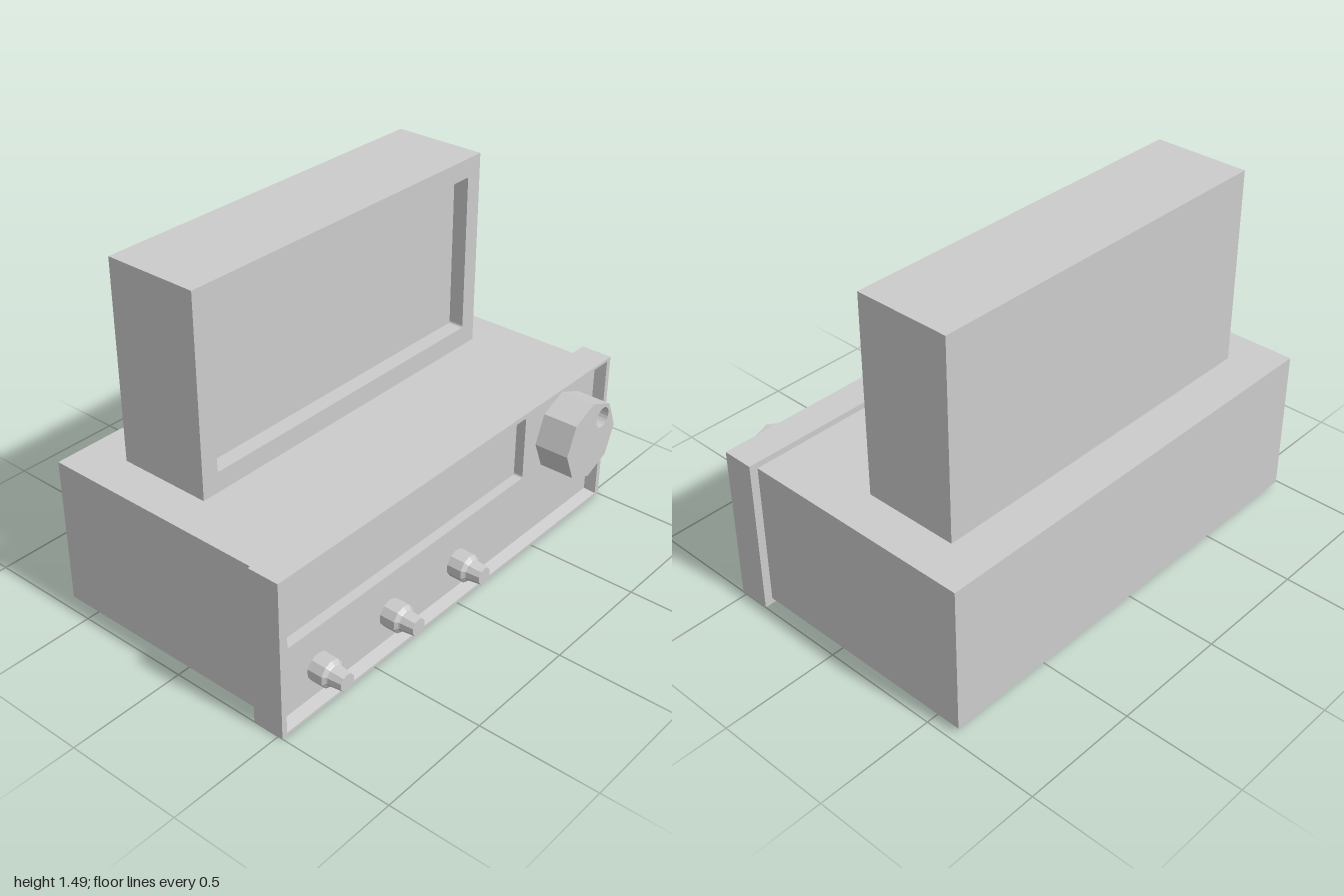
import * as THREE from 'three';

const mat = new THREE.MeshStandardMaterial({ color: 0xcccccc, flatShading: true });

function add(parent, name, geo, x = 0, y = 0, z = 0) {
  const mesh = new THREE.Mesh(geo, mat);
  mesh.name = name;
  mesh.position.set(x, y, z);
  parent.add(mesh);
  return mesh;
}

// Box given by its limits on each axis
function block(parent, name, [x0, x1], [y0, y1], [z0, z1]) {
  return add(parent, name, new THREE.BoxGeometry(x1 - x0, y1 - y0, z1 - z0),
    (x0 + x1) / 2, (y0 + y1) / 2, (z0 + z1) / 2);
}

// Rectangle outline with slightly rounded corners
function roundRect(path, x0, x1, y0, y1, r) {
  path.moveTo(x0 + r, y0);
  path.lineTo(x1 - r, y0);
  path.quadraticCurveTo(x1, y0, x1, y0 + r);
  path.lineTo(x1, y1 - r);
  path.quadraticCurveTo(x1, y1, x1 - r, y1);
  path.lineTo(x0 + r, y1);
  path.quadraticCurveTo(x0, y1, x0, y1 - r);
  path.lineTo(x0, y0 + r);
  path.quadraticCurveTo(x0, y0, x0 + r, y0);
  return path;
}

// Plate with a rounded window, from z0 to z1
function windowPlate(parent, name, [x0, x1], [y0, y1], [z0, z1], hole) {
  const shape = new THREE.Shape();
  shape.moveTo(x0, y0);
  shape.lineTo(x1, y0);
  shape.lineTo(x1, y1);
  shape.lineTo(x0, y1);
  shape.closePath();
  shape.holes.push(roundRect(new THREE.Path(), ...hole, 0.012));
  const geo = new THREE.ExtrudeGeometry(shape, { depth: z1 - z0, bevelEnabled: false, curveSegments: 4 });
  return add(parent, name, geo, 0, 0, z0);
}

// Skin between successive rectangles [halfWidth, bottom, top, z]
function rectLoft(rings) {
  const pos = [], index = [];
  for (const [w, b, t, z] of rings) pos.push(-w, b, z, w, b, z, w, t, z, -w, t, z);
  for (let i = 0; i < rings.length - 1; i++) {
    for (let j = 0; j < 4; j++) {
      const a = i * 4 + j, c = i * 4 + (j + 1) % 4;
      index.push(a, c, c + 4, a, c + 4, a + 4);
    }
  }
  const geo = new THREE.BufferGeometry();
  geo.setAttribute('position', new THREE.Float32BufferAttribute(pos, 3));
  geo.setIndex(index);
  const flat = geo.toNonIndexed();
  flat.computeVertexNormals();
  return flat;
}

// Stepped, tapered small knob pointing to +z
function smallKnob(parent, x) {
  const profile = [[0.058, 0], [0.058, 0.065], [0.046, 0.075], [0.043, 0.08], [0.036, 0.138], [0, 0.138]]
    .map(([r, h]) => new THREE.Vector2(r, h));
  const geo = new THREE.LatheGeometry(profile, 10);
  geo.rotateX(Math.PI / 2);
  add(parent, 'smallKnob', geo, x, 0.145, 0.47);
}

// Octagonal dial with a round finger dimple
function tuningDial(parent) {
  const dial = new THREE.Group();
  dial.name = 'tuningDial';
  dial.position.set(0.73, 0.44, 0.47);
  const shape = new THREE.Shape();
  for (let i = 0; i < 8; i++) {
    const a = i * Math.PI / 4;
    shape[i ? 'lineTo' : 'moveTo'](0.17 * Math.cos(a), 0.17 * Math.sin(a));
  }
  shape.closePath();
  shape.holes.push(new THREE.Path().absarc(0.075, 0.075, 0.044, 0, Math.PI * 2, true));
  add(dial, 'dialBody', new THREE.ExtrudeGeometry(shape, { depth: 0.152, bevelEnabled: false, curveSegments: 10 }));
  add(dial, 'dimpleFloor', new THREE.CircleGeometry(0.046, 20), 0.075, 0.075, 0.11);
  parent.add(dial);
}

export function createModel() {
  const model = new THREE.Group();
  model.name = 'radioWithScreen';

  // Main cabinet
  block(model, 'cabinet', [-0.965, 0.965], [0.025, 0.65], [-0.62, 0.385]);

  // Front bezel with a raised rim and tapered inner edge
  const front = new THREE.Group();
  front.name = 'frontPanel';
  model.add(front);
  add(front, 'bezel', rectLoft([
    [0.95, 0.04, 0.64, 0.385],
    [1, 0, 0.675, 0.385],
    [1, 0, 0.675, 0.52],
    [0.976, 0.013, 0.663, 0.52],
    [0.967, 0.023, 0.655, 0.47],
  ]));
  const display = [-0.91, 0.48, 0.32, 0.6];
  windowPlate(front, 'facePlate', [-0.97, 0.97], [0.02, 0.658], [0.386, 0.47], display);
  block(front, 'displayGlass', [-0.93, 0.5], [0.3, 0.62], [0.388, 0.428]);

  // Controls
  for (const x of [-0.755, -0.355, 0.05]) smallKnob(front, x);
  tuningDial(front);

  // Upper screen housing with recessed window
  const upper = new THREE.Group();
  upper.name = 'upperScreen';
  model.add(upper);
  const w = [-0.795, 0.792], h = [0.65, 1.485];
  block(upper, 'screenHousing', w, h, [-0.435, -0.097]);
  windowPlate(upper, 'screenFrame', w, h, [-0.097, -0.03], [-0.72, 0.717, 0.735, 1.405]);

  return model;
}
